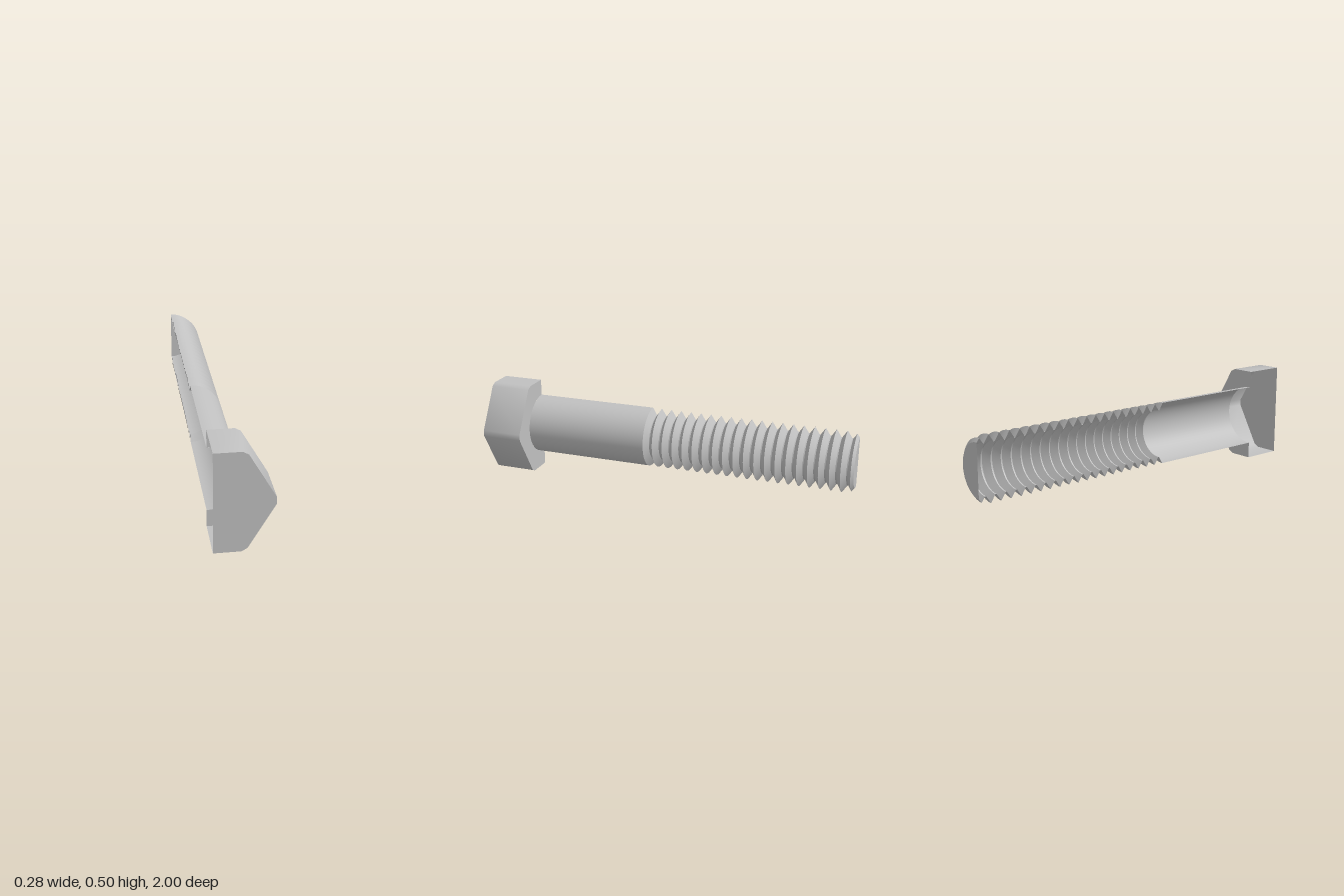
import * as THREE from 'three';
import { toCreasedNormals } from 'three/addons/utils/BufferGeometryUtils.js';

const R = 0.163;        // shank and thread crest radius
const ROOT = 0.125;     // thread root radius
const PITCH = 0.0553;
const HEAD_BACK = 0.78;

export function createModel() {
  const steel = new THREE.MeshStandardMaterial({ color: 0xc0c0c0, side: THREE.DoubleSide });
  steel.name = 'steel';

  const bolt = new THREE.Group();
  bolt.name = 'halfBolt';
  bolt.position.set(-0.14, 0.25, 0); // bolt axis lies on the open side

  const add = (name, geometry) => {
    const mesh = new THREE.Mesh(geometry, steel);
    mesh.name = name;
    bolt.add(mesh);
  };

  // half-turn shell around the z axis from [radius, z] points, back to front
  const halfTurn = (points) => {
    const g = new THREE.LatheGeometry(points.map(([r, z]) => new THREE.Vector2(r, z)), 32, 0, Math.PI);
    g.rotateX(Math.PI / 2);
    return toCreasedNormals(g, 0.5);
  };

  // half hexagon with clipped corners, bottom to top
  const lower = [[0, -0.25], [0.127, -0.25], [0.154, -0.235], [0.28, -0.017]];
  const outline = [...lower, ...lower.map(([x, y]) => [x, -y]).reverse()]
    .map(([x, y]) => new THREE.Vector2(x, y));

  // head: front face, back face around the shank, and side walls
  const front = new THREE.ShapeGeometry(new THREE.Shape(outline));
  front.translate(0, 0, 1);
  add('headFront', front);

  const collar = new THREE.Shape(outline);
  collar.lineTo(0, R);
  collar.absarc(0, 0, R, Math.PI / 2, -Math.PI / 2, true);
  const back = new THREE.ShapeGeometry(collar, 32);
  back.rotateX(Math.PI);
  back.translate(0, 0, HEAD_BACK);
  add('headBack', back);

  const n = outline.length;
  const wall = new THREE.PlaneGeometry(1, 1, n - 1, 1);
  const pos = wall.attributes.position;
  for (let i = 0; i < pos.count; i++) {
    const p = outline[i % n];
    pos.setXYZ(i, p.x, p.y, i < n ? 1 : HEAD_BACK);
  }
  add('headSides', toCreasedNormals(wall, 0.6));

  // plain shank
  add('shank', halfTurn([[R, 0.11], [R, HEAD_BACK]]));

  // V thread rings, from the chamfered tip to the shank
  const thread = [[0.133, -1], [0.152, -0.986]];
  for (let k = 18; k >= 0; k--) {
    const crest = 0.058 - k * PITCH;
    thread.push([ROOT, crest - PITCH / 2 - 0.003], [ROOT, crest - PITCH / 2 + 0.003], [R, crest]);
  }
  thread.push([ROOT, 0.083], [ROOT, 0.088], [R, 0.11]);
  add('thread', halfTurn(thread));

  // flat tip
  const tip = new THREE.CircleGeometry(0.133, 32, -Math.PI / 2, Math.PI);
  tip.rotateX(Math.PI);
  tip.translate(0, 0, -1);
  add('tip', tip);

  const model = new THREE.Group();
  model.add(bolt);
  return model;
}
